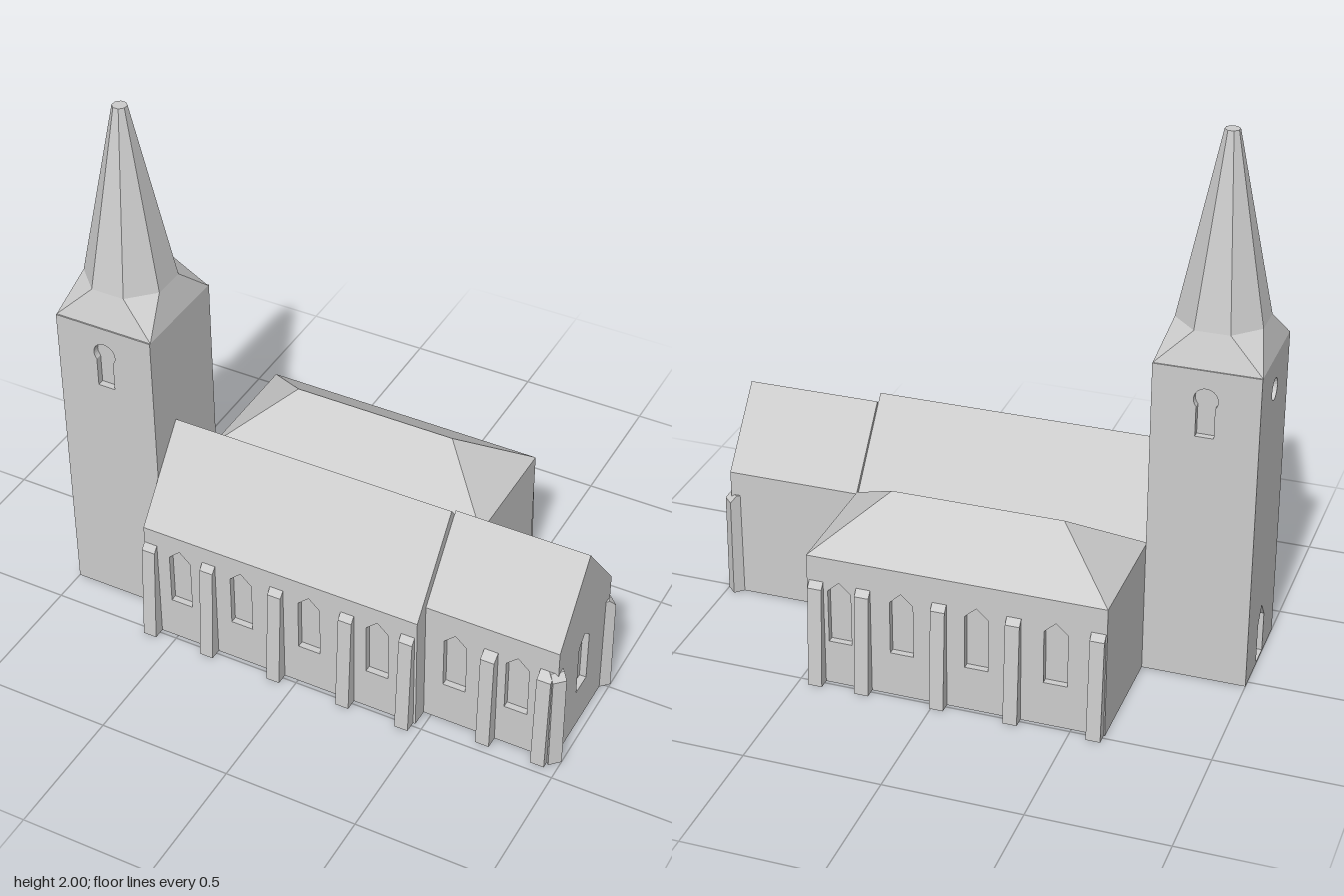
import * as THREE from 'three';

const D = 0.025; // depth of window recesses

export function createModel() {
  const church = new THREE.Group();
  church.name = 'church';
  const stone = new THREE.MeshStandardMaterial({ color: 0xcccccc });
  stone.name = 'paleStone';

  const add = (name, geo, x = 0, y = 0, z = 0, ry = 0) => {
    const m = new THREE.Mesh(geo, stone);
    m.name = name;
    m.position.set(x, y, z);
    m.rotation.y = ry;
    church.add(m);
    return m;
  };

  // solid block given by its limits
  const block = (name, x0, x1, y1, z0, z1) =>
    add(name, new THREE.BoxGeometry(x1 - x0, y1, z1 - z0), (x0 + x1) / 2, y1 / 2, (z0 + z1) / 2);

  const poly = (pts) => new THREE.Shape(pts.map(([x, y]) => new THREE.Vector2(x, y)));

  // openings
  const pointed = (x, y0 = 0.17, w = 0.043, ys = 0.375, yt = 0.415) =>
    poly([[x - w, y0], [x + w, y0], [x + w, ys], [x, yt], [x - w, ys]]);
  const round = (x, y, r) => {
    const p = new THREE.Path();
    p.absarc(x, y, r, 0, Math.PI * 2, false);
    return p;
  };
  const keyhole = (x, y0, w, cy, r) => {
    const a = Math.acos(w / r);
    const p = new THREE.Path();
    p.moveTo(x - w, y0);
    p.lineTo(x + w, y0);
    p.absarc(x, cy, r, -a, Math.PI + a, false);
    p.closePath();
    return p;
  };

  // wall skin with openings; outer face at local z = 0
  const wall = (name, outline, holes, x, z, ry) => {
    const s = poly(outline);
    s.holes.push(...holes);
    const g = new THREE.ExtrudeGeometry(s, { depth: D, bevelEnabled: false, curveSegments: 10 });
    g.translate(0, 0, -D);
    add(name, g, x, 0, z, ry);
  };
  const rect = (x0, x1, h) => [[x0, 0], [x1, 0], [x1, h], [x0, h]];

  // gable roof running along x
  const gable = (name, x0, x1, zc, half, eave, ridge) => {
    const g = new THREE.ExtrudeGeometry(poly([[-half, eave], [half, eave], [0, ridge]]),
      { depth: x1 - x0, bevelEnabled: false });
    g.rotateY(Math.PI / 2);
    add(name, g, x0, 0, zc);
  };

  // flat-faced skin between rings of equal point count
  const loft = (rings) => {
    const pos = [];
    const tri = (a, b, c) => {
      const n = b.clone().sub(a).cross(c.clone().sub(a));
      if (n.length() > 1e-9) for (const v of [a, b, c]) pos.push(v.x, v.y, v.z);
    };
    for (let r = 0; r + 1 < rings.length; r++) {
      const a = rings[r], b = rings[r + 1];
      a.forEach((_, i) => {
        const j = (i + 1) % a.length;
        tri(a[i], b[i], b[j]);
        tri(a[i], b[j], a[j]);
      });
    }
    const g = new THREE.BufferGeometry();
    g.setAttribute('position', new THREE.Float32BufferAttribute(pos, 3));
    g.computeVertexNormals();
    return g;
  };

  // battered buttress with a sloped cap, projecting towards local +z
  const buttress = (name, x, z, ry, base = 0.045, top = 0.02, w = 0.052) => {
    const g = new THREE.ExtrudeGeometry(
      poly([[-0.03, 0], [base, 0], [top, 0.385], [0, 0.408], [-0.03, 0.408]]),
      { depth: w, bevelEnabled: false });
    g.translate(0, 0, -w / 2);
    g.rotateY(-Math.PI / 2);
    add(name, g, x, 0, z, ry);
  };

  // tower
  const tx = -0.81, tz = 0.17, th = 1.21;
  block('towerCore', -1 + D, -0.62, th, -0.03 + D, 0.37 - D);
  const belfry = () => keyhole(0, 0.96, 0.033, 1.1, 0.043);
  wall('towerFrontWall', rect(-0.19, 0.19, th), [belfry()], tx, 0.37, 0);
  wall('towerBackWall', rect(-0.19, 0.19, th), [belfry()], tx, -0.03, Math.PI);
  wall('towerWestWall', rect(-0.2, 0.2, th),
    [round(0, 1.08, 0.04), pointed(0, 0.005, 0.045, 0.16, 0.22)], -1, tz, -Math.PI / 2);

  // broach spire: square base to octagon, then taper to a small flat tip
  const ring = (f) => Array.from({ length: 8 }, (_, k) => {
    const a = (k + 0.5) * Math.PI / 4;
    return f(Math.cos(a), Math.sin(a));
  });
  const octagon = (r, y) => ring((c, s) => new THREE.Vector3(c * r, y, s * r));
  add('spire', loft([
    ring((c, s) => new THREE.Vector3(Math.sign(c) * 0.19, th, Math.sign(s) * 0.195)),
    octagon(0.166, 1.33), octagon(0.027, 2), octagon(0, 2),
  ]), tx, 0, tz);

  // nave
  block('naveCore', -0.62, 0.47, 0.475, -0.02, 0.485 - D);
  wall('naveFrontWall', rect(-0.62, 0.47, 0.475),
    [-0.475, -0.225, 0.048, 0.317].map((x) => pointed(x)), 0, 0.485, 0);
  gable('naveRoof', -0.62, 0.47, 0.2325, 0.2525, 0.475, 0.79);
  for (const x of [-0.594, -0.355, -0.08, 0.2, 0.435]) buttress('naveButtress', x, 0.485, 0);

  // chancel
  const cz = 0.2, ch = 0.22;
  block('chancelCore', 0.47, 0.97 - D, 0.5, cz - ch, cz + ch - D);
  wall('chancelFrontWall', rect(0.47, 0.97, 0.5),
    [0.585, 0.82].map((x) => pointed(x)), 0, cz + ch, 0);
  wall('chancelEastWall', [[-ch, 0], [ch, 0], [ch, 0.5], [0, 0.77], [-ch, 0.5]],
    [pointed(0)], 0.97, cz, Math.PI / 2);
  gable('chancelRoof', 0.47, 0.97 - D, cz, ch, 0.5, 0.77);
  for (const x of [0.72, 0.93]) buttress('chancelButtress', x, cz + ch, 0, 0.048, 0.033);
  buttress('cornerButtress', 0.963, cz + ch - 0.007, Math.PI / 4, 0.028, 0.024, 0.05);
  buttress('cornerButtress', 0.963, cz - ch + 0.007, Math.PI * 3 / 4, 0.028, 0.024, 0.05);

  // rear aisle with hipped roof
  block('aisleCore', -0.62, 0.47, 0.505, -0.487 + D, -0.015);
  wall('aisleBackWall', rect(-0.47, 0.62, 0.505),
    [-0.35, -0.12, 0.155, 0.44].map((x) => pointed(x)), 0, -0.487, Math.PI);
  const hip = (x0, x1, y, half) => [[x1, half], [x0, half], [x0, -half], [x1, -half]]
    .map(([x, z]) => new THREE.Vector3(x, y, z));
  add('aisleRoof', loft([hip(-0.62, 0.47, 0.505, 0.236), hip(-0.39, 0.24, 0.677, 0)]), 0, 0, -0.251);
  for (const x of [-0.59, -0.29, -0.02, 0.26, 0.435]) buttress('aisleButtress', x, -0.487, Math.PI, 0.042);

  return church;
}
